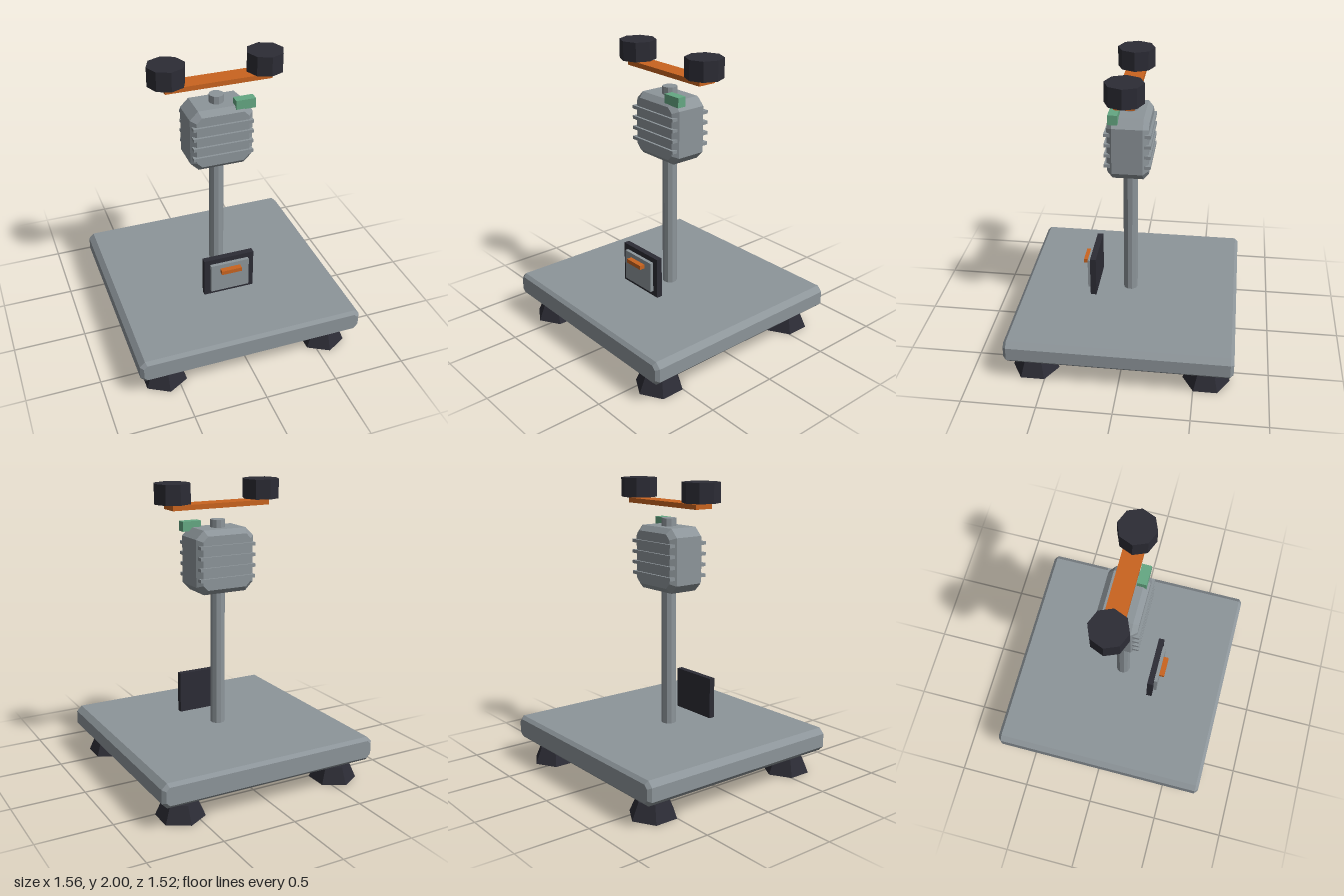
import * as THREE from 'three';

const mat = (name, color) => {
  const m = new THREE.MeshStandardMaterial({ color, flatShading: true });
  m.name = name;
  return m;
};

export function createModel() {
  const grey = mat('metal grey', 0x8d959a);
  const dark = mat('rubber black', 0x2c2c35);
  const orange = mat('orange', 0xc9641f);
  const green = mat('green', 0x65a883);
  const model = new THREE.Group();
  model.name = 'windSensorStation';

  const add = (name, geometry, material, x, y, z) => {
    const mesh = new THREE.Mesh(geometry, material);
    mesh.name = name;
    mesh.position.set(x, y, z);
    model.add(mesh);
    return mesh;
  };

  // Box given by its lower and upper corners
  const box = (name, material, [x0, y0, z0], [x1, y1, z1]) =>
    add(name, new THREE.BoxGeometry(x1 - x0, y1 - y0, z1 - z0), material,
      (x0 + x1) / 2, (y0 + y1) / 2, (z0 + z1) / 2);

  // Upright cylinder or cone between two heights
  const column = (name, material, rTop, rBottom, y0, y1, sides, x = 0, z = 0) =>
    add(name, new THREE.CylinderGeometry(rTop, rBottom, y1 - y0, sides), material, x, (y0 + y1) / 2, z);

  // Block with cut corners along z and bevelled front and back faces
  const chamferedBlock = (name, material, hx, hy, hz, cut, bevel, y) => {
    const a = hx - cut, b = hy - cut;
    const outline = new THREE.Shape([
      [a, -hy], [hx, -b], [hx, b], [a, hy], [-a, hy], [-hx, b], [-hx, -b], [-a, -hy],
    ].map(([px, py]) => new THREE.Vector2(px, py)));
    const geometry = new THREE.ExtrudeGeometry(outline, {
      depth: 2 * (hz - bevel), bevelEnabled: true, bevelSegments: 1,
      bevelSize: bevel, bevelThickness: bevel, bevelOffset: -bevel,
    });
    geometry.translate(0, 0, -(hz - bevel));
    return add(name, geometry, material, 0, y, 0);
  };

  // Base plate on four feet
  chamferedBlock('basePlate', grey, 0.78, 0.082, 0.76, 0.036, 0.022, 0.237);
  for (const x of [-0.582, 0.582]) {
    for (const z of [-0.582, 0.582]) {
      column('foot', dark, 0.112, 0.16, 0, 0.11, 6, x, z);
      column('footStem', grey, 0.05, 0.05, 0.1, 0.17, 8, x, z);
    }
  }

  // Mast through the housing
  column('mast', grey, 0.05, 0.05, 0.3, 1.748, 10);

  // Ribbed housing
  chamferedBlock('housing', grey, 0.213, 0.214, 0.136, 0.056, 0.035, 1.481);
  for (const y of [1.372, 1.444, 1.516, 1.588]) {
    box('coolingFin', grey, [-0.204, y - 0.011, -0.152], [0.204, y + 0.011, 0.152]);
  }
  box('connector', green, [0.092, 1.67, 0.06], [0.226, 1.736, 0.122]);

  // Cross arm and cups
  box('crossArm', orange, [-0.358, 1.829, -0.066], [0.358, 1.862, 0.066]);
  for (const x of [-0.33, 0.33]) column('cup', dark, 0.125, 0.125, 1.869, 2, 8, x);

  // Display in front of the mast
  box('displayFrame', dark, [-0.179, 0.342, 0.223], [0.179, 0.629, 0.264]);
  box('displayPanel', grey, [-0.137, 0.377, 0.26], [0.137, 0.593, 0.288]);
  box('displayBar', orange, [-0.072, 0.533, 0.286], [0.072, 0.562, 0.325]);

  return model;
}
